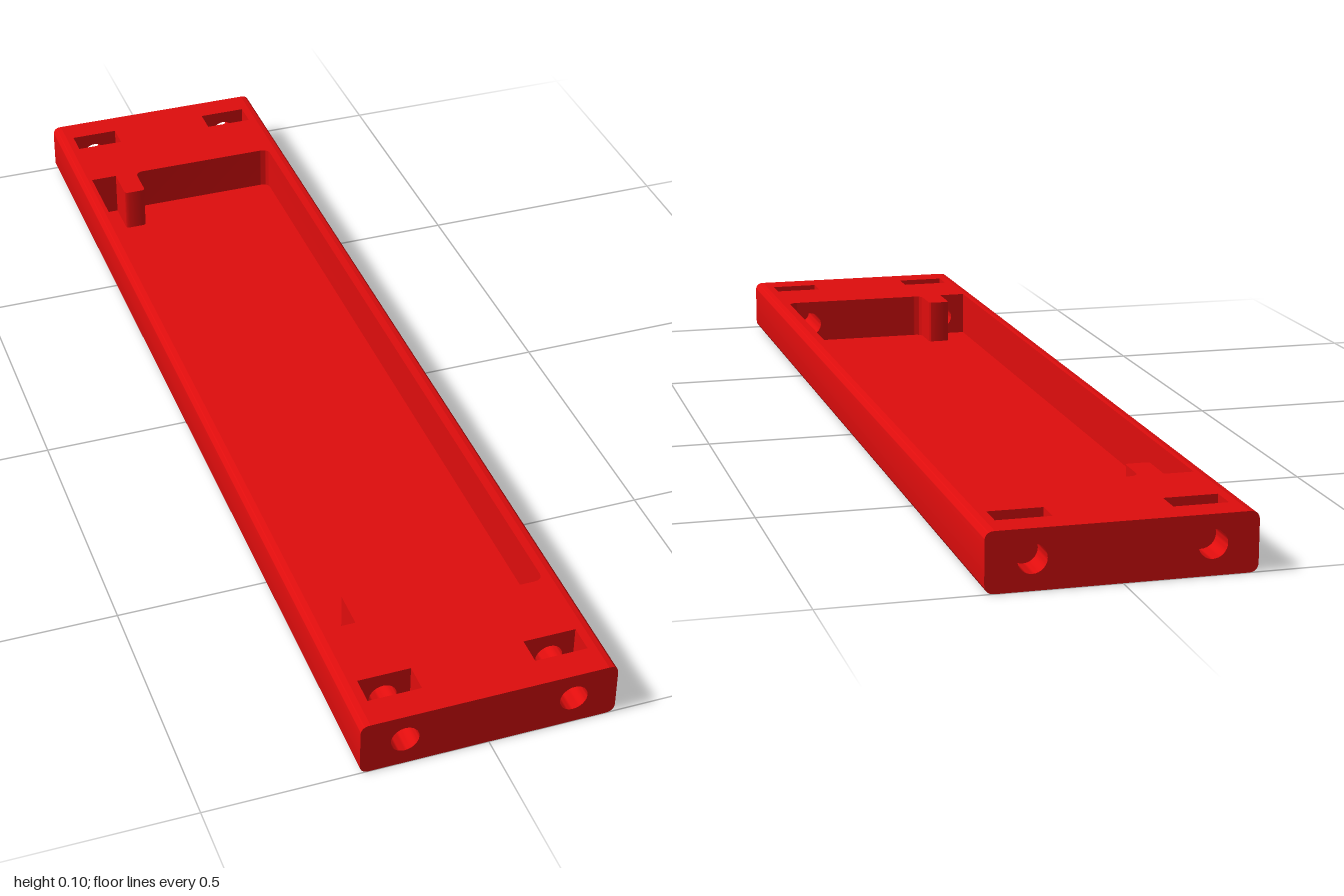
import * as THREE from 'three';
import { toCreasedNormals } from 'three/addons/utils/BufferGeometryUtils.js';

const W = 0.228, H = 0.103, L = 1;           // half width, height, half length
const EDGE = 0.017, FLOOR = 0.015;           // long edge rounding, pocket floor level
const PZ = 0.76, PL = -0.203, PR = 0.196;    // pocket end, left and right sides
const POST = [-0.15, -0.106], POST_Z = 0.685;
const SLOT_X = [0.101, 0.196], SLOT_Z = [0.895, 0.945];
const BORE_X = 0.15, BORE_Y = 0.053, BORE_R = 0.025;

// Closed outline from [x, y, cornerRadius] corners
function roundedLoop(corners) {
  const s = new THREE.Shape();
  const n = corners.length;
  corners.forEach(([x, y, r = 0], i) => {
    const toward = ([qx, qy]) => {
      const d = Math.hypot(qx - x, qy - y);
      return [x + (qx - x) * r / d, y + (qy - y) * r / d];
    };
    const a = toward(corners[(i + n - 1) % n]), b = toward(corners[(i + 1) % n]);
    if (i === 0) s.moveTo(...a); else s.lineTo(...a);
    if (r > 0) s.quadraticCurveTo(x, y, ...b);
  });
  s.closePath();
  return s;
}

const rect = (x0, x1, y0, y1, r = 0) =>
  roundedLoop([[x0, y0, r], [x1, y0, r], [x1, y1, r], [x0, y1, r]]);

const circle = (x) => new THREE.Shape().absarc(x, BORE_Y, BORE_R, 0, Math.PI * 2, false);

// Flat sheet facing +z or -z
function face(shape, z, dir = 1) {
  const g = new THREE.ShapeGeometry(shape, 16);
  if (dir < 0) {
    g.index.array.reverse();
    g.attributes.normal.array.forEach((v, i, arr) => { arr[i] = -v; });
  }
  return g.translate(0, 0, z);
}

// Wall swept along z from an outline; inward makes it face the inside
function wall(shape, z0, z1, inward = false, skip = () => false) {
  const pts = shape.getPoints(16), pos = [];
  pts.forEach((p, i) => {
    let a = p, b = pts[(i + 1) % pts.length];
    if (a.distanceTo(b) < 1e-6 || skip(a, b)) return;
    if (inward) [a, b] = [b, a];
    pos.push(a.x, a.y, z0, b.x, b.y, z0, b.x, b.y, z1,
      a.x, a.y, z0, b.x, b.y, z1, a.x, a.y, z1);
  });
  const g = new THREE.BufferGeometry();
  g.setAttribute('position', new THREE.Float32BufferAttribute(pos, 3));
  return toCreasedNormals(g, 0.7);
}

// Turns a plan drawn in (x, -z) so that its depth runs up y
const lay = (g) => g.rotateX(-Math.PI / 2);
const near = (a, b) => Math.abs(a - b) < 1e-6;

export function createModel() {
  const model = new THREE.Group();
  model.name = 'tray';
  const material = new THREE.MeshStandardMaterial({ color: 0xe00d0d, side: THREE.DoubleSide });
  const add = (name, ...geometries) => {
    const part = new THREE.Group();
    part.name = name;
    geometries.forEach((g) => {
      const m = new THREE.Mesh(g, material);
      m.name = name;
      part.add(m);
    });
    model.add(part);
  };

  // Pocket plan with a post reaching in at each end
  const [p0, p1] = POST;
  const pocket = roundedLoop([
    [PL, -PZ], [p0, -PZ], [p0, -POST_Z, 0.008], [p1, -POST_Z, 0.008], [p1, -PZ, 0.018],
    [PR, -PZ, 0.018], [PR, PZ, 0.018], [p1, PZ, 0.018], [p1, POST_Z, 0.008],
    [p0, POST_Z, 0.008], [p0, PZ], [PL, PZ],
  ]);

  // The four vertical slots
  const slots = [];
  for (const sx of [-1, 1]) for (const sz of [-1, 1]) {
    const xs = SLOT_X.map((v) => v * sx).sort((a, b) => a - b);
    const zs = SLOT_Z.map((v) => v * sz).sort((a, b) => a - b);
    slots.push({ sx, sz, xs, zs, plan: rect(...xs, -zs[1], -zs[0]) });
  }

  // Outer skin
  const section = rect(-W, W, 0, H, EDGE);
  const flat = (a, b) => near(a.y, b.y) && (near(a.y, 0) || near(a.y, H));
  add('sides', wall(section, -L, L, false, flat));

  const plan = () => rect(-W + EDGE, W - EDGE, -L, L);
  const top = plan(), bottom = plan();
  top.holes.push(pocket, ...slots.map((s) => s.plan));
  bottom.holes.push(...slots.map((s) => s.plan));
  add('topFace', lay(face(top, H)));
  add('bottomFace', lay(face(bottom, 0, -1)));

  section.holes.push(circle(-BORE_X), circle(BORE_X));
  add('frontEnd', face(section, L));
  add('backEnd', face(section, -L, -1));

  // Pocket: floor, walls, and the front wall pierced by the bores
  add('pocketFloor', lay(face(pocket, FLOOR)));
  const frontEdge = (a, b) => near(a.y, -PZ) && near(b.y, -PZ);
  add('pocketWalls', lay(wall(pocket, FLOOR, H, true, frontEdge)));

  const wide = rect(p1 + 0.018, PR - 0.018, FLOOR, H);
  wide.holes.push(circle(BORE_X));
  const notch = new THREE.Shape().moveTo(PL, FLOOR).lineTo(p0, FLOOR)
    .lineTo(p0, BORE_Y - BORE_R)
    .absarc(p0, BORE_Y, BORE_R, -Math.PI / 2, Math.PI / 2, true)
    .lineTo(p0, H).lineTo(PL, H);
  add('pocketFrontWall', face(wide, PZ, -1), face(notch, PZ, -1));

  // Half of one bore ends against the post
  const half = new THREE.Shape()
    .absarc(p0, BORE_Y, BORE_R, -Math.PI / 2, Math.PI / 2, false);
  add('postBoreEnd', face(half, PZ));

  // Slots crossed by the round bores; the back bores stop at the slots
  for (const { sx, sz, xs, zs, plan: slotPlan } of slots) {
    const bore = circle(sx * BORE_X);
    const pierced = rect(...xs, 0, H);
    pierced.holes.push(bore);
    const solid = rect(...xs, 0, H);
    const [inner, outer] = SLOT_Z.map((v) => v * sz);
    add('slot',
      lay(wall(slotPlan, 0, H, true, (a, b) => near(a.y, b.y))),
      face(pierced, outer, -sz),
      face(sz > 0 ? pierced : solid, inner, sz));
    const bores = [wall(bore, Math.min(outer, sz * L), Math.max(outer, sz * L), true)];
    if (sz > 0) bores.push(wall(bore, PZ, inner, true));
    add('bore', ...bores);
  }

  return model;
}
